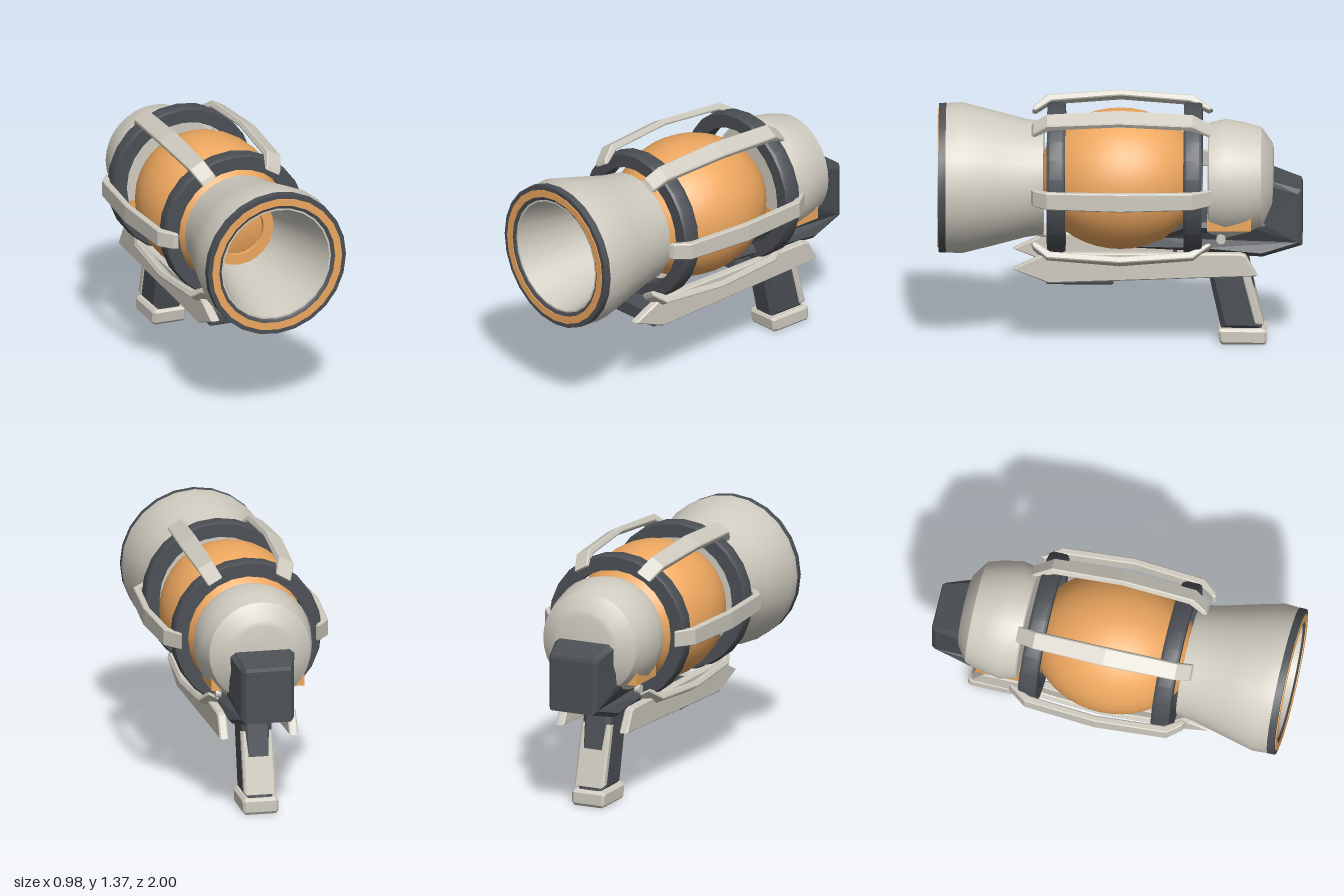
import * as THREE from 'three';
import { toCreasedNormals } from 'three/addons/utils/BufferGeometryUtils.js';
import { RoundedBoxGeometry } from 'three/addons/geometries/RoundedBoxGeometry.js';

const AXIS_Y = 0.925; // height of the barrel axis

export function createModel() {
  const model = new THREE.Group();
  const light = new THREE.MeshStandardMaterial({ color: 0xcfcbc0 });
  const dark = new THREE.MeshStandardMaterial({ color: 0x4b4f54 });
  const orange = new THREE.MeshStandardMaterial({ color: 0xeda75f });

  function add(name, geometry, material, x = 0, y = 0, z = 0) {
    const mesh = new THREE.Mesh(geometry, material);
    mesh.name = name;
    mesh.position.set(x, y, z);
    model.add(mesh);
    return mesh;
  }

  // Profile of [radius, z] turned around the barrel axis
  function turned(name, profile, material, segments = 24) {
    const g = new THREE.LatheGeometry(profile.map(([r, z]) => new THREE.Vector2(r, z)), segments);
    g.rotateX(Math.PI / 2);
    return add(name, toCreasedNormals(g, 0.5), material, 0, AXIS_Y, 0);
  }

  // Outline of [z, y] given a width along x, with small bevels
  function sideProfile(points, width, bevel) {
    const shape = new THREE.Shape(points.map(([z, y]) => new THREE.Vector2(z, y)));
    const g = new THREE.ExtrudeGeometry(shape, {
      depth: width - 2 * bevel, bevelEnabled: bevel > 0, bevelThickness: bevel,
      bevelSize: bevel, bevelOffset: -bevel, bevelSegments: 1,
    });
    g.translate(0, 0, bevel - width / 2);
    g.rotateY(-Math.PI / 2);
    return g;
  }

  // Scale the width of a geometry by a rule depending on z
  function taper(g, rule) {
    const p = g.attributes.position;
    for (let i = 0; i < p.count; i++) p.setX(i, p.getX(i) * rule(p.getZ(i)));
    g.computeVertexNormals();
    return g;
  }

  // Flared front horn, hollow
  turned('horn', [
    [0.2, 0.42], [0.31, 0.42], [0.325, 0.52], [0.37, 0.69], [0.415, 0.87], [0.41, 0.96],
    [0.325, 0.96], [0.325, 0.985], [0.315, 0.985], [0.2, 0.44], [0.2, 0.42],
  ], light);
  turned('hornRim', [
    [0.325, 0.955], [0.411, 0.955], [0.41, 0.995], [0.385, 0.995], [0.345, 0.995],
    [0.325, 0.985], [0.325, 0.955],
  ], dark);
  turned('hornFaceRing', [
    [0.345, 0.98], [0.385, 0.98], [0.385, 1], [0.345, 1], [0.345, 0.98],
  ], orange);
  turned('throatRing', [
    [0.145, 0.43], [0.203, 0.43], [0.203, 0.455], [0.145, 0.455], [0.145, 0.43],
  ], orange);

  // Swollen tank with flattened ends
  const tank = [[0, -0.42]];
  for (let i = 0; i <= 20; i++) {
    const z = 0.42 * Math.sin((i / 20 - 0.5) * Math.PI);
    tank.push([0.39 * Math.sqrt(1 - (z / 0.452) ** 2), z]);
  }
  tank.push([0, 0.42]);
  turned('tank', tank, orange, 32);

  // Two cage rings
  for (const [name, z] of [['frontRing', 0.35], ['rearRing', -0.4]]) {
    turned(name, [
      [0.335, z - 0.05], [0.41, z - 0.05], [0.418, z - 0.035], [0.418, z + 0.035],
      [0.41, z + 0.05], [0.335, z + 0.05], [0.335, z - 0.05],
    ], dark);
  }

  // Six bent cage struts
  const strutOutline = [
    [-0.505, 0.385], [-0.485, 0.4], [-0.4, 0.462], [0, 0.49], [0.4, 0.462], [0.475, 0.4],
    [0.485, 0.375], [0.465, 0.37], [0.38, 0.425], [0, 0.455], [-0.38, 0.425], [-0.485, 0.375],
  ];
  for (let i = 0; i < 6; i++) {
    const g = taper(sideProfile(strutOutline, 0.104, 0.006), z => 1 - 0.55 * z * z);
    add('cageStrut', g, light, 0, AXIS_Y, 0).rotation.z = Math.PI / 6 + i * Math.PI / 3;
  }

  // Rear cap
  turned('rearCap', [
    [0, -0.842], [0.17, -0.842], [0.2, -0.835], [0.285, -0.775], [0.31, -0.69], [0.33, -0.58],
    [0.31, -0.49], [0.3, -0.483], [0, -0.483],
  ], light, 32);

  // Coloured band between rear cap and frame
  add('rearBand', new THREE.BoxGeometry(0.52, 0.09, 0.24), orange, 0, 0.745, -0.6);

  // Lower frame and stock block
  const frame = sideProfile([
    [-0.82, 0.96], [-0.995, 0.9], [-1, 0.88], [-1, 0.585], [-0.78, 0.525], [-0.45, 0.555],
    [-0.08, 0.56], [-0.2, 0.645], [-0.35, 0.72], [-0.72, 0.72], [-0.78, 0.73],
  ], 0.36, 0.025);
  add('frame', taper(frame, z => (z < -0.9 ? 0.82 : z > -0.25 ? 0.7 : 1)), dark);

  // Side screws and lower rails
  for (const side of [1, -1]) {
    const screw = new THREE.CylinderGeometry(0.026, 0.026, 0.03, 12).rotateZ(Math.PI / 2);
    add('frameScrew', screw, light, side * 0.19, 0.635, -0.555);
    const rail = sideProfile([
      [0.59, 0.466], [0.4, 0.558], [-0.66, 0.558], [-0.69, 0.548], [-0.755, 0.43], [0.39, 0.386],
    ], 0.05, 0.008);
    add('lowerRail', rail, light, side * 0.195, 0, 0);
  }

  // Block slung between the rails
  add('foreBlock', new RoundedBoxGeometry(0.31, 0.085, 0.37, 2, 0.012), dark, 0, 0.402, 0.22);

  // Trigger guard and trigger
  add('triggerGuardBottom', new THREE.BoxGeometry(0.09, 0.02, 0.2), dark, 0, 0.455, -0.4);
  add('triggerGuardFront', new THREE.BoxGeometry(0.09, 0.12, 0.02), dark, 0, 0.505, -0.3);
  add('trigger', new THREE.BoxGeometry(0.035, 0.09, 0.03), dark, 0, 0.51, -0.41);

  // Grip with back strap and butt
  const grip = sideProfile([[-0.45, 0.56], [-0.69, 0.56], [-0.78, 0.08], [-0.555, 0.08]], 0.17, 0.03);
  add('grip', grip, dark);
  const strap = sideProfile([[-0.65, 0.45], [-0.7, 0.45], [-0.79, 0.11], [-0.735, 0.11]], 0.18, 0.012);
  add('gripBackStrap', strap, light);
  const butt = sideProfile([
    [-0.535, 0.075], [-0.545, 0.09], [-0.785, 0.09], [-0.805, 0.075], [-0.805, 0.015],
    [-0.795, 0], [-0.56, 0], [-0.545, 0.015],
  ], 0.2, 0.015);
  add('gripButt', butt, light);

  return model;
}
